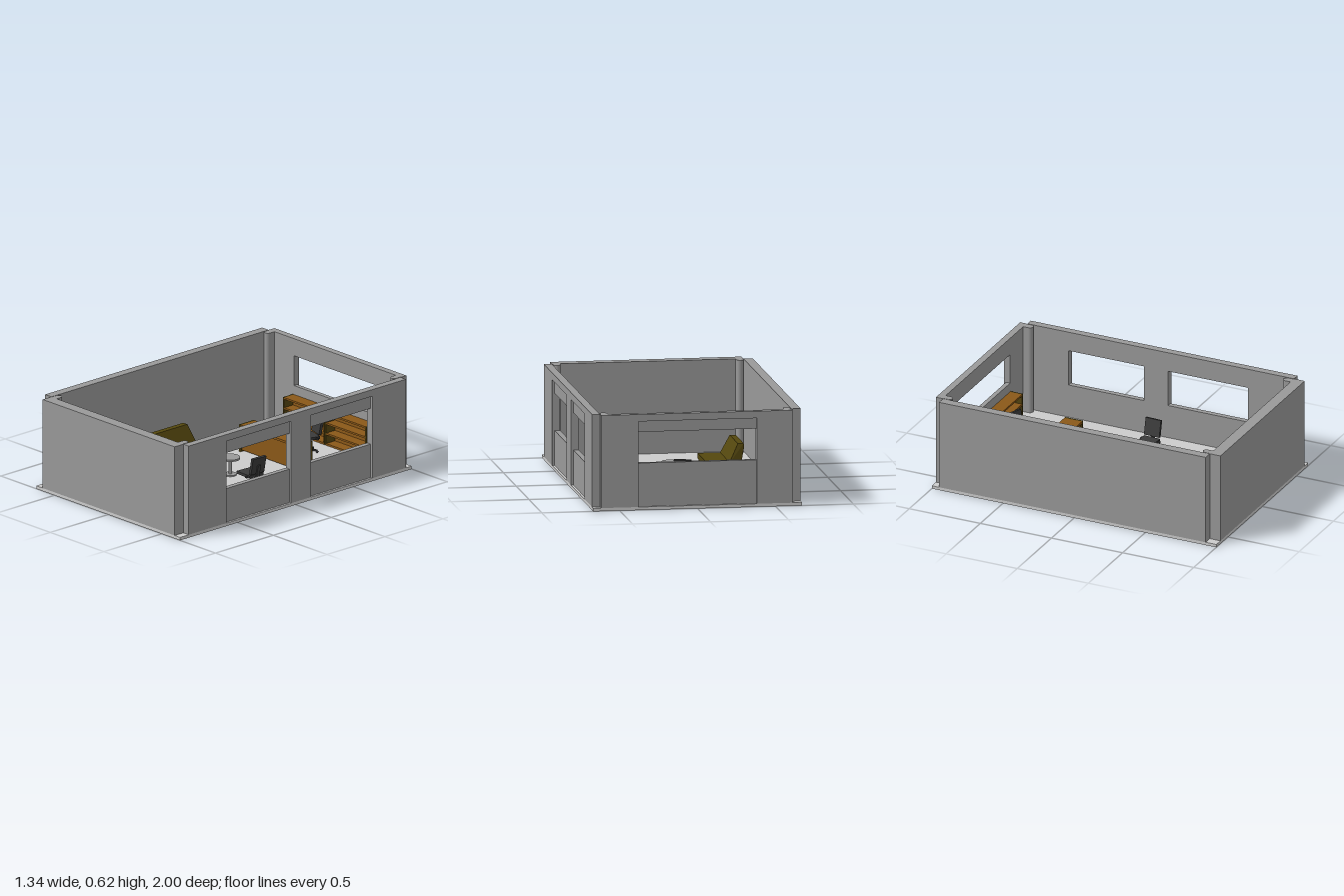
import * as THREE from 'three';

const mat = (color) => new THREE.MeshStandardMaterial({ color });
const floorMat = mat(0xcccccc), wallMat = mat(0x999999), wood = mat(0x8a5818),
  darkWood = mat(0x55440f), sofaMat = mat(0x54470e), chairMat = mat(0x3a3a3a);
const FLOOR = 0.02, TOP = 0.615;

function add(parent, name, geometry, material) {
  const mesh = new THREE.Mesh(geometry, material);
  mesh.name = name;
  parent.add(mesh);
  return mesh;
}

// Box given by its extents on each axis
function box(parent, name, [x0, x1], [y0, y1], [z0, z1], material) {
  const mesh = add(parent, name, new THREE.BoxGeometry(x1 - x0, y1 - y0, z1 - z0), material);
  mesh.position.set((x0 + x1) / 2, (y0 + y1) / 2, (z0 + z1) / 2);
  return mesh;
}

function group(parent, name, x = 0, y = 0, z = 0, turn = 0) {
  const g = new THREE.Group();
  g.name = name;
  g.position.set(x, y, z);
  g.rotation.y = turn;
  parent.add(g);
  return g;
}

// Wall along local x, outer face at local z = 0; panels in the bays are set back
function windowWall(parent, name, turn, x, z, span, bays, depth, sill, head) {
  const wall = group(parent, name, x, 0, z, turn);
  let from = span[0];
  for (const bay of [...bays, [span[1]]]) {
    box(wall, 'pier', [from, bay[0]], [FLOOR, TOP], [-depth, 0], wallMat);
    from = bay[1];
  }
  for (const bay of bays) {
    box(wall, 'sillPanel', bay, [FLOOR, sill], [-depth, -0.015], wallMat);
    box(wall, 'lintel', bay, [head, 0.57], [-depth, -0.015], wallMat);
    box(wall, 'topBeam', bay, [0.57, TOP], [-depth, 0], wallMat);
  }
}

// Upright pilaster with a rounded free end, direction dir along z
function pilaster(parent, x, z, dir) {
  const r = 0.023, reach = 0.06 - r;
  box(parent, 'pilaster', [x - r, x + r], [FLOOR, TOP],
    dir > 0 ? [z, z + reach] : [z - reach, z], wallMat);
  const end = add(parent, 'pilasterEnd',
    new THREE.CylinderGeometry(r, r, TOP - FLOOR, 20), wallMat);
  end.position.set(x, (TOP + FLOOR) / 2, z + dir * reach);
}

// Swivel chair facing local +z
function officeChair(parent, name, x, z, turn, height) {
  const chair = group(parent, name, x, FLOOR, z, turn);
  for (let i = 0; i < 5; i++) {
    const leg = group(chair, 'baseLeg', 0, 0, 0, (i * Math.PI * 2) / 5);
    box(leg, 'foot', [-0.005, 0.005], [0.012, 0.022], [0, 0.055], chairMat);
    add(leg, 'caster', new THREE.SphereGeometry(0.008, 10, 8), chairMat)
      .position.set(0, 0.008, 0.052);
  }
  add(chair, 'column', new THREE.CylinderGeometry(0.007, 0.009, 0.085, 12), chairMat)
    .position.y = 0.058;
  box(chair, 'seat', [-0.058, 0.058], [0.1, 0.118], [-0.05, 0.078], chairMat);
  const back = group(chair, 'backrest', 0, 0.112, -0.045);
  back.rotation.x = -0.2;
  const rise = height - FLOOR - 0.112;
  box(back, 'backPad', [-0.055, 0.055], [0.015, rise], [-0.012, 0.006], chairMat);
  box(back, 'backBar', [-0.012, 0.012], [-0.012, rise * 0.6], [-0.02, -0.012], chairMat);
  for (const s of [-1, 1]) {
    box(chair, 'sideBracket', [s * 0.064 - 0.006, s * 0.064 + 0.006],
      [0.1, 0.112], [-0.035, -0.02], chairMat);
  }
}

function bookshelf(parent) {
  const shelf = group(parent, 'bookshelf', 0, FLOOR, -0.955);
  const h = 0.22, d = 0.085;
  for (const x0 of [-0.39, 0]) {
    const x1 = x0 + 0.388;
    box(shelf, 'backPanel', [x0, x1], [0, h], [0, 0.008], wood);
    for (const x of [x0, x1 - 0.012]) box(shelf, 'sidePanel', [x, x + 0.012], [0, h], [0, d], darkWood);
    for (const y of [0, 0.07, 0.14, h - 0.012]) {
      box(shelf, 'shelfBoard', [x0 + 0.012, x1 - 0.012], [y, y + 0.012], [0.008, d], wood);
    }
  }
}

function desk(parent) {
  const d = group(parent, 'desk', 0, FLOOR, 0);
  box(d, 'deskTop', [-0.265, 0.255], [0.165, 0.18], [-0.515, -0.39], wood);
  for (const x of [-0.28, 0.255]) {
    box(d, 'deskSide', [x, x + 0.015], [0, 0.18], [-0.515, -0.39], darkWood);
  }
  box(d, 'frontPanel', [-0.265, 0.255], [0.01, 0.165], [-0.412, -0.4], wood);
}

// Sofa facing +x with a leaning backrest that narrows toward the top
function sofa(parent) {
  const s = group(parent, 'sofa', 0, FLOOR, 0.095);
  box(s, 'sofaBase', [-0.4, -0.215], [0, 0.075], [-0.185, 0.185], sofaMat);
  box(s, 'seatCushion', [-0.38, -0.21], [0.075, 0.11], [-0.19, 0.19], sofaMat);
  const profile = new THREE.Shape([[-0.41, 0], [-0.35, 0], [-0.35, 0.1], [-0.412, 0.225],
    [-0.45, 0.225], [-0.45, 0.19]].map(([x, y]) => new THREE.Vector2(x, y)));
  const geometry = new THREE.ExtrudeGeometry(profile, { depth: 0.38, bevelEnabled: false });
  geometry.translate(0, 0, -0.19);
  const p = geometry.attributes.position;
  for (let i = 0; i < p.count; i++) {
    if (p.getY(i) > 0.15) p.setZ(i, p.getZ(i) * 0.84);
  }
  geometry.computeVertexNormals();
  add(s, 'sofaBack', geometry, sofaMat);
}

function roundTable(parent) {
  const t = group(parent, 'roundTable', 0.01, FLOOR, -0.045);
  const disc = (name, r, h, y) =>
    { add(t, name, new THREE.CylinderGeometry(r, r, h, 40), wallMat).position.y = y; };
  disc('tableTop', 0.063, 0.012, 0.114);
  disc('tableColumn', 0.01, 0.105, 0.056);
  disc('tableFoot', 0.04, 0.008, 0.004);
}

export function createModel() {
  const room = new THREE.Group();
  room.name = 'officeRoom';

  // Floor and walls, leaving an open notch at each corner
  box(room, 'floor', [-0.67, 0.67], [0, FLOOR], [-1, 1], floorMat);
  box(room, 'frontWall', [-0.61, 0.62], [FLOOR, TOP], [0.925, 1], wallMat);
  box(room, 'leftSideWall', [-0.67, -0.61], [FLOOR, TOP], [-0.95, 0.925], wallMat);
  windowWall(room, 'windowSideWall', Math.PI / 2, 0.67, 0, [-0.925, 0.95],
    [[-0.6, -0.04], [0.13, 0.66]], 0.05, 0.245, 0.485);
  windowWall(room, 'backWall', Math.PI, 0, -1, [-0.62, 0.61],
    [[-0.38, 0.38]], 0.045, 0.3, 0.5);
  for (const x of [-0.583, 0.592]) {
    pilaster(room, x, -0.955, 1);
    pilaster(room, x, 0.925, -1);
  }

  // Furniture
  bookshelf(room);
  desk(room);
  sofa(room);
  roundTable(room);
  officeChair(room, 'deskChair', 0.037, -0.7, -0.3, 0.28);
  officeChair(room, 'visitorChair', 0.31, 0.05, -Math.PI / 2 - 0.05, 0.26);
  return room;
}
